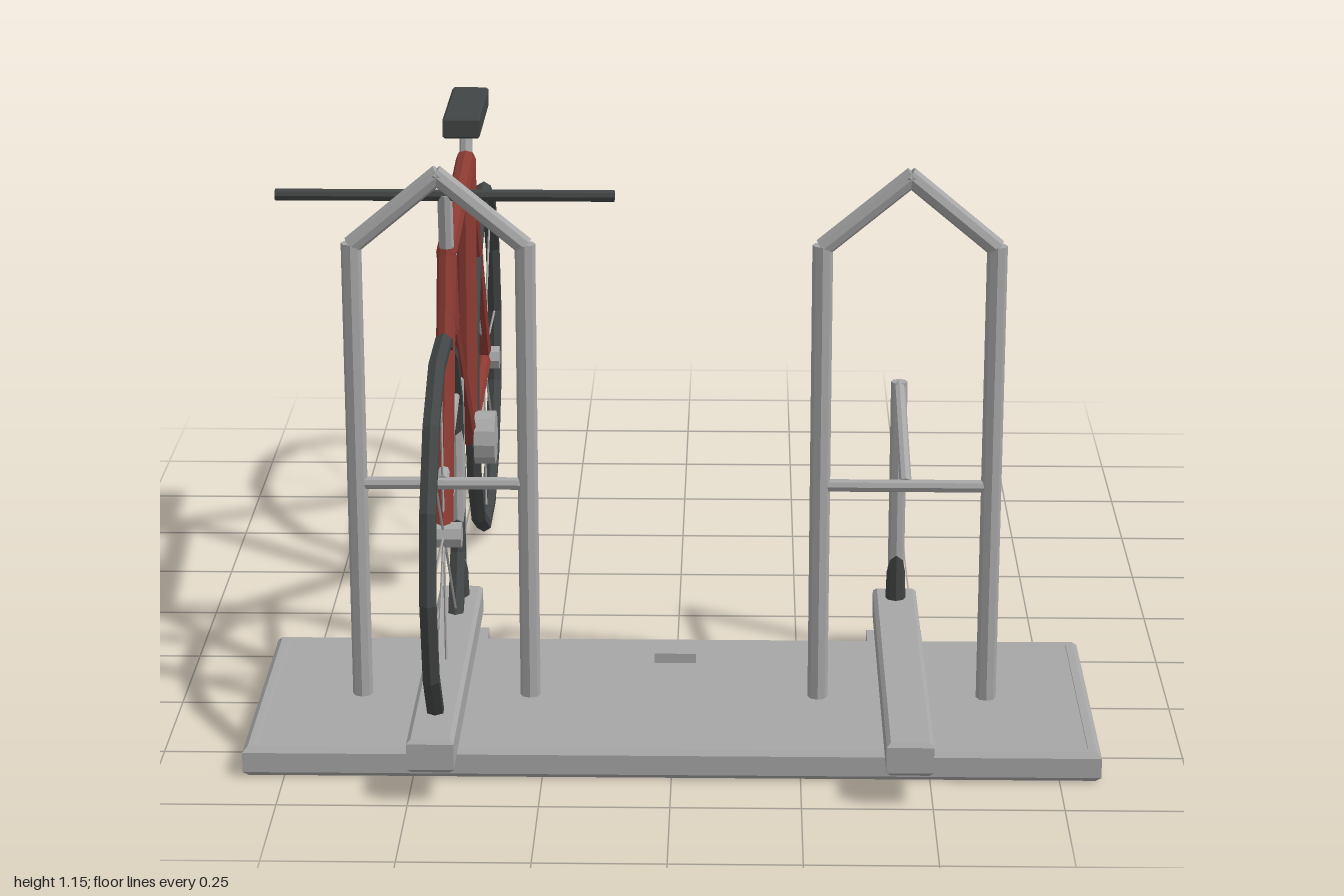
import * as THREE from 'three';

const metal = new THREE.MeshStandardMaterial({ color: 0xa6a6a6, flatShading: true });
metal.name = 'galvanised grey';
const red = new THREE.MeshStandardMaterial({ color: 0x8a3a32, flatShading: true });
red.name = 'frame red';
const rubber = new THREE.MeshStandardMaterial({ color: 0x424545, flatShading: true });
rubber.name = 'rubber dark grey';

function add(parent, name, geometry, material, x = 0, y = 0, z = 0) {
  const mesh = new THREE.Mesh(geometry, material);
  mesh.name = name;
  mesh.position.set(x, y, z);
  parent.add(mesh);
  return mesh;
}

// Straight round tube between two points
function tube(parent, name, a, b, radius, material, sides = 8) {
  const start = new THREE.Vector3(...a), end = new THREE.Vector3(...b);
  const dir = end.clone().sub(start);
  const mesh = add(parent, name, new THREE.CylinderGeometry(radius, radius, dir.length(), sides), material);
  mesh.position.copy(start).add(end).multiplyScalar(0.5);
  mesh.quaternion.setFromUnitVectors(new THREE.Vector3(0, 1, 0), dir.normalize());
  return mesh;
}

function rectangle(Type, w, d) {
  return new Type([[-w, -d], [w, -d], [w, d], [-w, d]].map(([x, y]) => new THREE.Vector2(x / 2, y / 2)));
}

// Upright slab with chamfered edges, optionally open through the middle
function slab(w, h, d, bevel, wall = 0) {
  const shape = rectangle(THREE.Shape, w - 2 * bevel, d - 2 * bevel);
  if (wall) shape.holes.push(rectangle(THREE.Path, w - 2 * wall, d - 2 * wall));
  const geometry = new THREE.ExtrudeGeometry(shape, {
    depth: h - 2 * bevel, bevelEnabled: true, bevelSize: bevel, bevelThickness: bevel, bevelSegments: 1,
  });
  return geometry.translate(0, 0, bevel - h / 2).rotateX(-Math.PI / 2);
}

// Hollow base tray
function buildBase() {
  const base = new THREE.Group();
  base.name = 'base';
  add(base, 'baseRim', slab(1.66, 0.06, 0.59, 0.01, 0.025), metal, 0, 0.03, 0.575);
  add(base, 'baseTop', new THREE.BoxGeometry(1.63, 0.01, 0.56), metal, 0, 0.054, 0.575);
  add(base, 'basePlate', new THREE.PlaneGeometry(0.085, 0.02), metal, 0, 0.085, 0.455);
  return base;
}

// One wheel channel with its hoop and wheel support
function buildStand(x) {
  const stand = new THREE.Group();
  stand.name = 'stand';
  stand.position.x = x;
  const z = 0.585;
  add(stand, 'wheelRail', slab(0.09, 0.068, 0.83, 0.008), metal, 0, 0.098, 0.58);
  add(stand, 'railFoot', new THREE.BoxGeometry(0.115, 0.035, 0.115), metal, 0, 0.0175, 0.223);
  for (const s of [-1, 1]) {
    tube(stand, 'hoopPost', [s * 0.168, 0.045, z], [s * 0.168, 0.995, z], 0.02, metal);
    tube(stand, 'hoopRafter', [s * 0.168, 0.99, z], [-s * 0.005, 1.134, z], 0.019, metal);
    add(stand, 'postAnchor', new THREE.BoxGeometry(0.1, 0.025, 0.1), metal, s * 0.168, 0.038, z);
    add(stand, 'anchorNut', new THREE.BoxGeometry(0.05, 0.03, 0.05), metal, s * 0.168, 0.025, z);
  }
  tube(stand, 'crossbar', [-0.16, 0.505, z], [0.16, 0.505, z], 0.013, metal);
  tube(stand, 'supportArm', [0, 0.51, z], [0, 0.597, 0.225], 0.012, metal);
  tube(stand, 'supportPost', [0, 0.12, 0.225], [0, 0.605, 0.225], 0.017, metal);

  // Dark boot round the support post, its rim higher at the front
  const boot = new THREE.CylinderGeometry(0.019, 0.021, 0.06, 8);
  const p = boot.attributes.position;
  for (let i = 0; i < p.count; i++) {
    if (p.getY(i) > 0) p.setY(i, p.getY(i) + Math.max(0, p.getZ(i)) * 2.2);
  }
  add(stand, 'postBoot', boot, rubber, 0, 0.16, 0.225);
  return stand;
}

// Tyre, four spoke pairs and hub
function buildWheel(name, z) {
  const wheel = new THREE.Group();
  wheel.name = name;
  wheel.position.set(0, 0.397, z);
  add(wheel, 'tyre', new THREE.TorusGeometry(0.382, 0.018, 6, 14).rotateY(Math.PI / 2), rubber);
  for (let i = 0; i < 4; i++) {
    const a = i * Math.PI / 4, c = 0.375 * Math.cos(a), s = 0.375 * Math.sin(a);
    tube(wheel, 'spokePair', [0, -s, -c], [0, s, c], 0.0025, metal, 4);
  }
  tube(wheel, 'hub', [-0.036, 0, 0], [0.036, 0, 0], 0.027, metal);
  return wheel;
}

function buildBicycle(x) {
  const bike = new THREE.Group();
  bike.name = 'bicycle';
  bike.position.x = x;
  bike.add(buildWheel('frontWheel', 0.585), buildWheel('rearWheel', -0.588));

  // Frame joints as [y, z]
  const head = [0.92, 0.385], neck = [0.75, 0.34], seat = [0.972, -0.16];
  const crank = [0.375, -0.085], rear = [0.397, -0.588], front = [0.397, 0.585];
  const members = [
    ['fork', head, front, 0.019], ['headTube', head, neck, 0.02],
    ['topTube', head, seat, 0.021], ['downTube', neck, crank, 0.02],
    ['seatTube', seat, crank, 0.021], ['seatStay', seat, rear, 0.018],
    ['chainStay', crank, rear, 0.018],
  ];
  for (const [name, a, b, r] of members) tube(bike, name, [0, ...a], [0, ...b], r, red);
  for (const joint of [head, neck, seat]) {
    add(bike, 'frameJoint', new THREE.SphereGeometry(0.02, 8, 6), red, 0, ...joint);
  }

  // Crank, saddle and handlebar
  tube(bike, 'chainring', [0.016, ...crank], [0.06, ...crank], 0.058, metal, 12);
  tube(bike, 'seatPost', [0, ...seat], [0, 1.055, -0.188], 0.014, metal);
  add(bike, 'saddle', slab(0.077, 0.045, 0.285, 0.005), rubber, 0, 1.068, -0.18);
  tube(bike, 'stem', [0, ...head], [0, 1.045, 0.402], 0.015, metal);
  tube(bike, 'handlebar', [-0.335, 1.042, 0.402], [0.335, 1.042, 0.402], 0.012, rubber);
  return bike;
}

export function createModel() {
  const model = new THREE.Group();
  model.name = 'bicycleRack';
  model.add(buildBase(), buildStand(-0.455), buildStand(0.455), buildBicycle(-0.455));
  return model;
}
